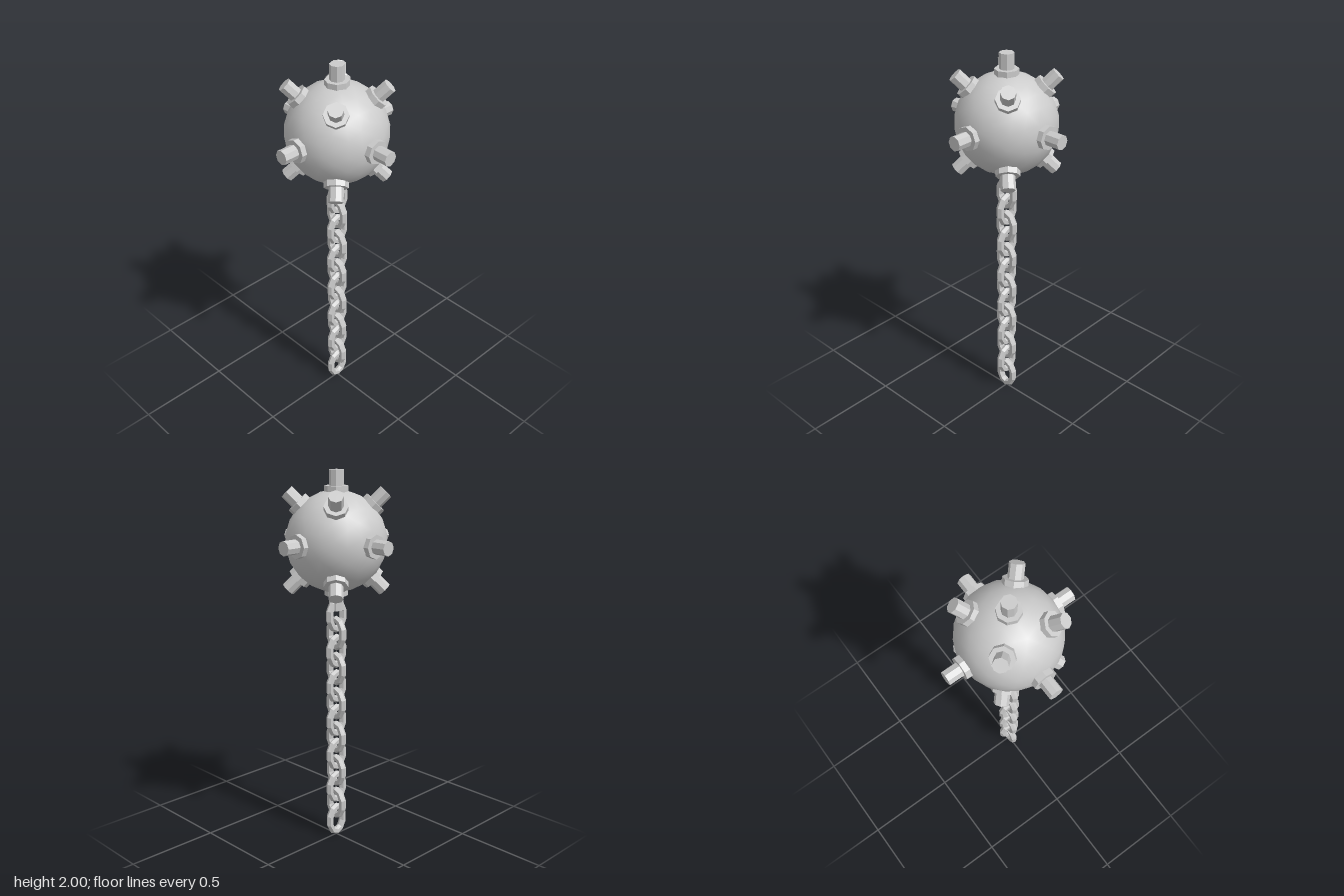
import * as THREE from 'three';

const smooth = new THREE.MeshStandardMaterial({ color: 0xcccccc });
const faceted = new THREE.MeshStandardMaterial({ color: 0xcccccc, flatShading: true });

const BALL_Y = 1.642, BALL_R = 0.26;
const LINKS = 13, PITCH = 0.0968, FIRST_LINK_Y = 0.094;

// Octagonal prism standing along +y from y0 to y1
function prism(name, radius, y0, y1) {
  const geometry = new THREE.CylinderGeometry(radius, radius, y1 - y0, 8);
  geometry.translate(0, (y0 + y1) / 2, 0);
  const mesh = new THREE.Mesh(geometry, faceted);
  mesh.name = name;
  return mesh;
}

// Blunt stud with a collar, pointing out of the ball centre
function stud(direction, length) {
  const group = new THREE.Group();
  group.name = 'stud';
  group.add(prism('studCollar', 0.061, 0.2, 0.279), prism('studPin', 0.0375, 0.2, length));
  group.quaternion.setFromUnitVectors(new THREE.Vector3(0, 1, 0), direction.normalize());
  return group;
}

// Ten-sided ring lengthened along y without thickening its bar
function linkGeometry() {
  const geometry = new THREE.TorusGeometry(0.05, 0.02, 6, 10);
  geometry.rotateZ(Math.PI / 2);
  const p = geometry.attributes.position;
  for (let i = 0; i < p.count; i++) {
    const x = p.getX(i), y = p.getY(i);
    p.setY(i, y + 0.024 * y / Math.hypot(x, y));
  }
  geometry.computeVertexNormals();
  return geometry;
}

export function createModel() {
  const model = new THREE.Group();
  model.name = 'spikedBallOnChain';

  // Ball head
  const head = new THREE.Group();
  head.name = 'head';
  head.position.y = BALL_Y;
  const ball = new THREE.Mesh(new THREE.IcosahedronGeometry(BALL_R, 3), smooth);
  ball.name = 'ball';
  head.add(ball);

  // Six studs on the axes, eight on the diagonals
  for (const s of [-1, 1]) {
    head.add(stud(new THREE.Vector3(s, 0, 0), 0.358));
    head.add(stud(new THREE.Vector3(0, s, 0), 0.358));
    head.add(stud(new THREE.Vector3(0, 0, s), 0.358));
    for (const sx of [-1, 1])
      for (const sz of [-1, 1])
        head.add(stud(new THREE.Vector3(sx, s * Math.SQRT2, sz), 0.352));
  }
  model.add(head);

  // Chain of links, each turned a quarter from the last
  const chain = new THREE.Group();
  chain.name = 'chain';
  const geometry = linkGeometry();
  for (let i = 0; i < LINKS; i++) {
    const link = new THREE.Mesh(geometry, faceted);
    link.name = 'chainLink';
    link.position.y = FIRST_LINK_Y + i * PITCH;
    link.rotation.y = (i % 2) * Math.PI / 2;
    chain.add(link);
  }
  model.add(chain);

  return model;
}
